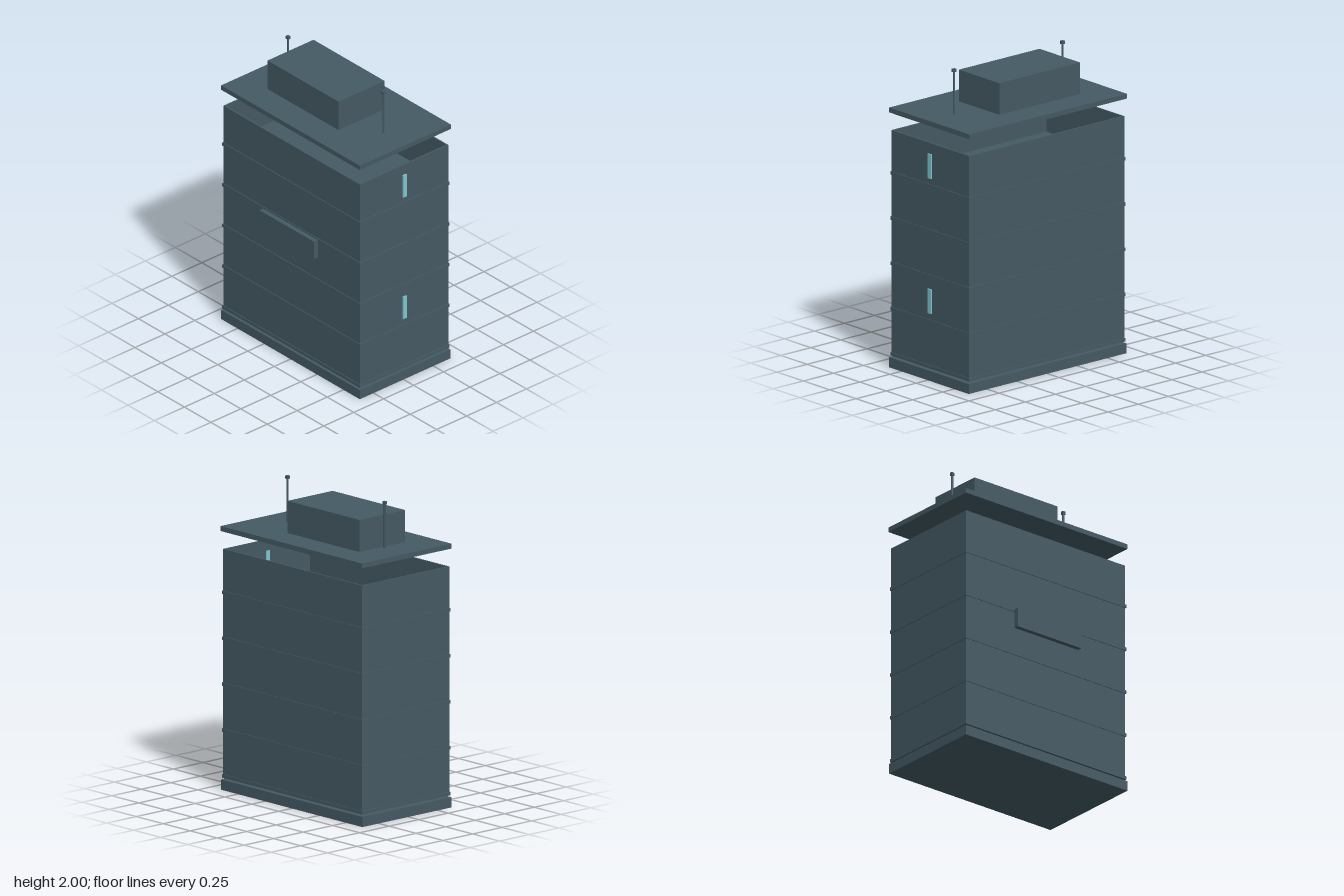
import * as THREE from 'three';

export function createModel() {
  const group = new THREE.Group();
  const slate = new THREE.MeshStandardMaterial({ color: 0x455a64 });
  slate.name = 'slate';
  const glass = new THREE.MeshStandardMaterial({ color: 0x80c8d0 });
  glass.name = 'paleGlass';

  // Box given by its extents along each axis
  function box(name, [x0, x1], [y0, y1], [z0, z1], material = slate) {
    const mesh = new THREE.Mesh(new THREE.BoxGeometry(x1 - x0, y1 - y0, z1 - z0), material);
    mesh.position.set((x0 + x1) / 2, (y0 + y1) / 2, (z0 + z1) / 2);
    mesh.name = name;
    group.add(mesh);
  }

  // Plinth
  box('base', [-0.655, 0.655], [0, 0.066], [-0.39, 0.365]);

  // Hollow shell, open at the top
  const wallY = [0.08, 1.553], t = 0.01;
  box('frontWall', [-0.645, 0.645], wallY, [0.355 - t, 0.355]);
  box('backWall', [-0.645, 0.645], wallY, [-0.382, -0.382 + t]);
  box('leftWall', [0.645 - t, 0.645], wallY, [-0.382 + t, 0.355 - t]);
  box('rightWall', [-0.645, -0.645 + t], wallY, [-0.382 + t, 0.355 - t]);

  // Floor slabs, showing as thin bands outside the walls
  for (let i = 0; i < 5; i++) {
    const y = 0.078 + i * 0.296;
    box('floorSlab', [-0.65, 0.65], [y, y + 0.022], [-0.387, 0.36]);
  }

  // Slit windows through one side wall
  for (const y of [0.438, 1.322]) {
    box('slitWindow', [0.63, 0.654], [y, y + 0.16], [-0.029, 0.001], glass);
  }

  // Blank panel on the front
  box('frontPanel', [-0.26, 0.256], [0.853, 0.98], [0.363, 0.395]);

  // Raised roof with plant room
  box('roof', [-0.655, 0.655], [1.668, 1.7], [-0.395, 0.365]);
  box('plantRoom', [-0.43, 0.241], [1.7, 1.907], [-0.207, 0.177]);

  // Antennas with small caps
  for (const x of [-0.453, 0.449]) {
    const mast = new THREE.Mesh(new THREE.CylinderGeometry(0.007, 0.007, 0.28, 8), slate);
    mast.position.set(x, 1.84, -0.015);
    mast.name = 'antennaMast';
    group.add(mast);
    box('antennaCap', [x - 0.011, x + 0.011], [1.98, 2], [-0.025, -0.005]);
  }
  return group;
}
